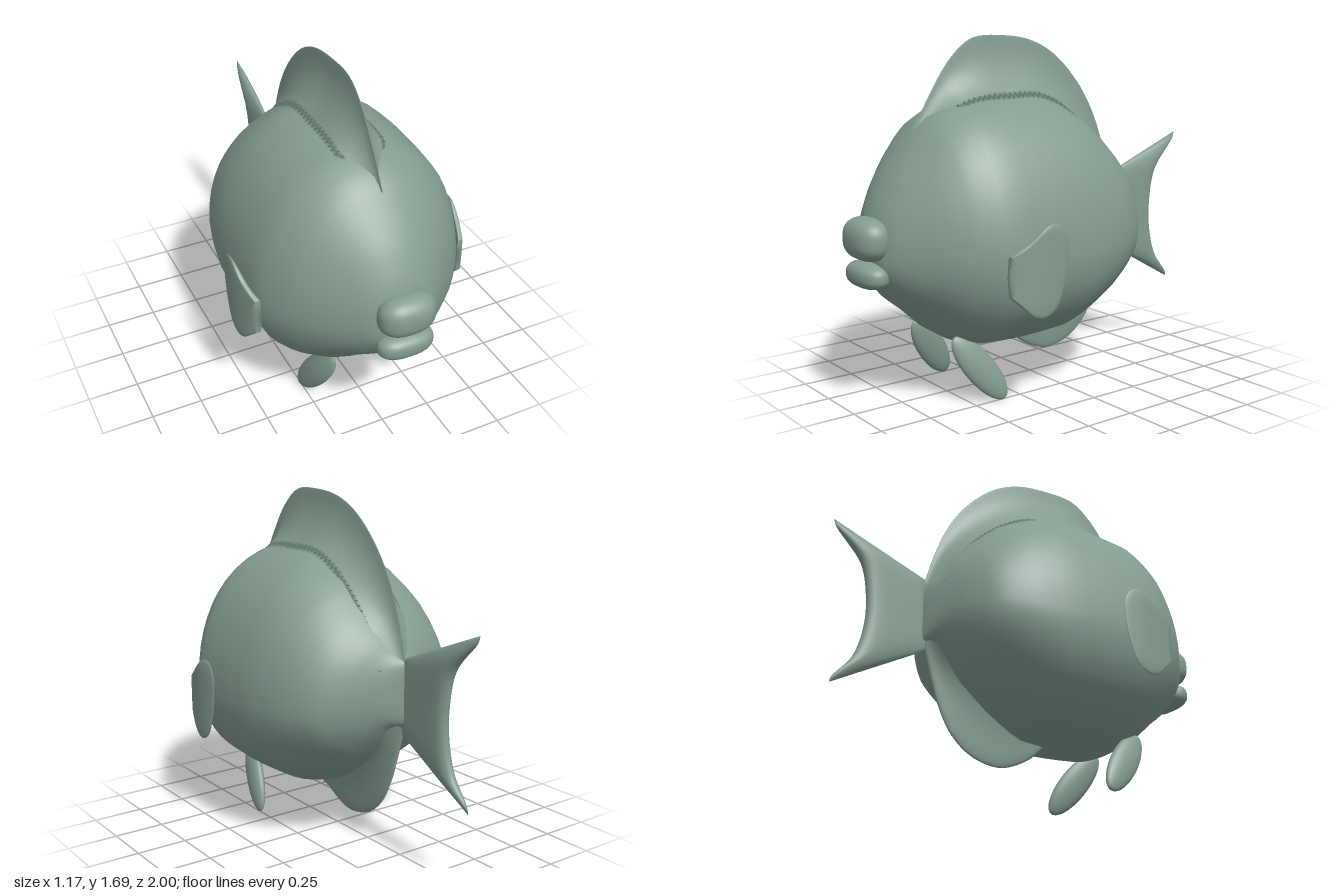
import * as THREE from 'three';
import { mergeVertices } from 'three/addons/utils/BufferGeometryUtils.js';

// Skin closed rings of [x, y, z] points into a smooth surface facing outward
function loft(rings) {
  const n = rings[0].length, idx = [];
  for (let i = 0; i < rings.length - 1; i++) {
    for (let j = 0; j < n; j++) {
      const a = i * n + j, b = i * n + (j + 1) % n, c = a + n, d = b + n;
      idx.push(a, b, d, a, d, c);
    }
  }
  const flat = rings.flat();
  const P = flat.map(p => new THREE.Vector3(...p));
  let volume = 0;
  const cross = new THREE.Vector3();
  for (let k = 0; k < idx.length; k += 3) {
    volume += P[idx[k]].dot(cross.crossVectors(P[idx[k + 1]], P[idx[k + 2]]));
  }
  if (volume < 0) idx.reverse();
  let geo = new THREE.BufferGeometry();
  geo.setAttribute('position', new THREE.Float32BufferAttribute(flat.flat(), 3));
  geo.setIndex(idx);
  geo = mergeVertices(geo, 1e-5);
  geo.computeVertexNormals();
  return geo;
}

// Spline through [z, y] points
const curve = pts => new THREE.CatmullRomCurve3(pts.map(([z, y]) => new THREE.Vector3(0, y, z)));

// Fin between a root line and an outer edge; half(u, v, z) is its half thickness
function fin(root, edge, half, mid = () => 0) {
  const A = curve(root), B = curve(edge), U = 48, V = 14, rings = [];
  for (let i = 0; i <= U; i++) {
    const u = i / U, a = A.getPointAt(u), b = B.getPointAt(u), front = [], back = [];
    for (let k = 0; k <= V; k++) {
      const v = k === V ? 1 : Math.sin(k / V * Math.PI / 2);
      const p = a.clone().lerp(b, v), h = half(u, v, p.z), m = mid(p.z);
      front.push([m + h, p.y, p.z]);
      back.unshift([m - h, p.y, p.z]);
    }
    rings.push([...front, ...back]);
  }
  return loft(rings);
}

const round = v => Math.sqrt(Math.max(0, 1 - v ** 4));

export function createModel() {
  const group = new THREE.Group();
  const skin = new THREE.MeshStandardMaterial({ color: 0x849c90, side: THREE.DoubleSide });
  skin.name = 'grey green';
  const add = (name, geo) => {
    const mesh = new THREE.Mesh(geo, skin);
    mesh.name = name;
    group.add(mesh);
    return mesh;
  };

  // Body sections: z, half width, top, bottom
  const sections = [
    [0.905, 0.005, 0.75, 0.73], [0.9, 0.1, 0.86, 0.62], [0.87, 0.17, 0.96, 0.58],
    [0.8, 0.26, 1.09, 0.5], [0.7, 0.37, 1.22, 0.42], [0.6, 0.45, 1.33, 0.33],
    [0.45, 0.522, 1.4, 0.25], [0.2, 0.535, 1.42, 0.24], [0, 0.53, 1.41, 0.25],
    [-0.2, 0.49, 1.31, 0.35], [-0.35, 0.41, 1.17, 0.47], [-0.43, 0.29, 1.07, 0.57],
    [-0.48, 0.16, 0.99, 0.64], [-0.53, 0.015, 0.95, 0.66],
  ];
  const sizes = new THREE.CatmullRomCurve3(sections.map(s => new THREE.Vector3(s[1], s[2], s[3])), false, 'centripetal');
  const depths = new THREE.CatmullRomCurve3(sections.map(s => new THREE.Vector3(s[0], 0, 0)), false, 'centripetal');
  const rings = [], steps = (sections.length - 1) * 3;
  for (let i = 0; i <= steps; i++) {
    const s = sizes.getPoint(i / steps), z = depths.getPoint(i / steps).x;
    const mid = s.z + (s.y - s.z) * 0.4, ring = [];
    for (let j = 0; j < 48; j++) {
      const t = j / 48 * Math.PI * 2, c = Math.cos(t), q = Math.sin(t);
      ring.push([s.x * Math.sign(c) * Math.abs(c) ** 0.96, mid + q * (q > 0 ? s.y - mid : mid - s.z), z]);
    }
    rings.push(ring);
  }
  add('body', loft(rings));

  // Dorsal fin with a flared root
  add('dorsalFin', fin(
    [[0.64, 1.26], [0.45, 1.38], [0.2, 1.4], [0, 1.39], [-0.2, 1.28], [-0.38, 1.1], [-0.48, 0.92]],
    [[0.66, 1.28], [0.56, 1.45], [0.46, 1.59], [0.34, 1.68], [0.17, 1.692], [0, 1.67], [-0.15, 1.6],
      [-0.3, 1.46], [-0.4, 1.31], [-0.47, 1.14], [-0.525, 0.95]],
    (u, v) => Math.min(1, 0.15 + u * 5) * (0.12 * (1 - v) ** 2.5 + 0.013 * Math.sqrt(1 - v))));

  // Fin under the rear belly
  add('ventralFin', fin(
    [[0.14, 0.26], [0, 0.28], [-0.15, 0.35], [-0.3, 0.46], [-0.42, 0.58], [-0.48, 0.68]],
    [[0.14, 0.25], [0.05, 0.17], [-0.1, 0.11], [-0.25, 0.14], [-0.36, 0.23], [-0.43, 0.36], [-0.47, 0.48], [-0.515, 0.64]],
    (u, v) => 0.07 * u * (1 - v) ** 2.5 + 0.019 * round(v)));

  // Forked tail, thicker toward the rear
  add('tail', fin(
    [[-0.49, 0.615], [-0.5, 0.73], [-0.51, 0.85], [-0.52, 0.975]],
    [[-0.955, 0.36], [-0.95, 0.385], [-0.86, 0.5], [-0.815, 0.65], [-0.81, 0.8], [-0.85, 0.98], [-0.985, 1.135], [-0.995, 1.165]],
    (u, v, z) => (0.01 + 0.026 * Math.min(1, (-0.5 - z) / 0.3 + 0.05)) * round(2 * u - 1) * Math.sqrt(Math.max(0, 1 - v ** 10))));

  // Paired fins
  for (const side of [1, -1]) {
    const label = side > 0 ? 'left' : 'right';
    add(label + 'PectoralFin', fin(
      [[0.51, 0.58], [0.515, 0.67], [0.51, 0.76]],
      [[0.51, 0.58], [0.46, 0.53], [0.4, 0.48], [0.35, 0.475], [0.29, 0.51], [0.25, 0.6], [0.23, 0.7],
        [0.23, 0.82], [0.27, 0.88], [0.33, 0.885], [0.42, 0.82], [0.51, 0.76]],
      (u, v) => 0.013 * round(v),
      z => side * (0.575 - Math.max(0, z - 0.3) ** 2)));

    const pelvic = add(label + 'PelvicFin', new THREE.SphereGeometry(1, 28, 20));
    pelvic.scale.set(0.034, 0.2, 0.075);
    pelvic.rotation.set(0.64, 0, side * 0.2);
    pelvic.position.set(side * 0.213, 0.17, 0.455);
  }

  // Lips: spheres squared off toward the corners
  const lip = (name, y, z, rx, ry, rz) => {
    const geo = new THREE.SphereGeometry(1, 36, 24), p = geo.attributes.position;
    const square = a => Math.sign(a) * Math.abs(a) ** 0.75;
    for (let i = 0; i < p.count; i++) {
      p.setXYZ(i, rx * square(p.getX(i)), y + ry * square(p.getY(i)), z + rz * p.getZ(i));
    }
    add(name, mergeVertices(geo.deleteAttribute('normal').deleteAttribute('uv'), 1e-5)).geometry.computeVertexNormals();
  };
  lip('upperLip', 0.805, 0.91, 0.138, 0.098, 0.09);
  lip('lowerLip', 0.642, 0.91, 0.138, 0.06, 0.075);

  return group;
}
